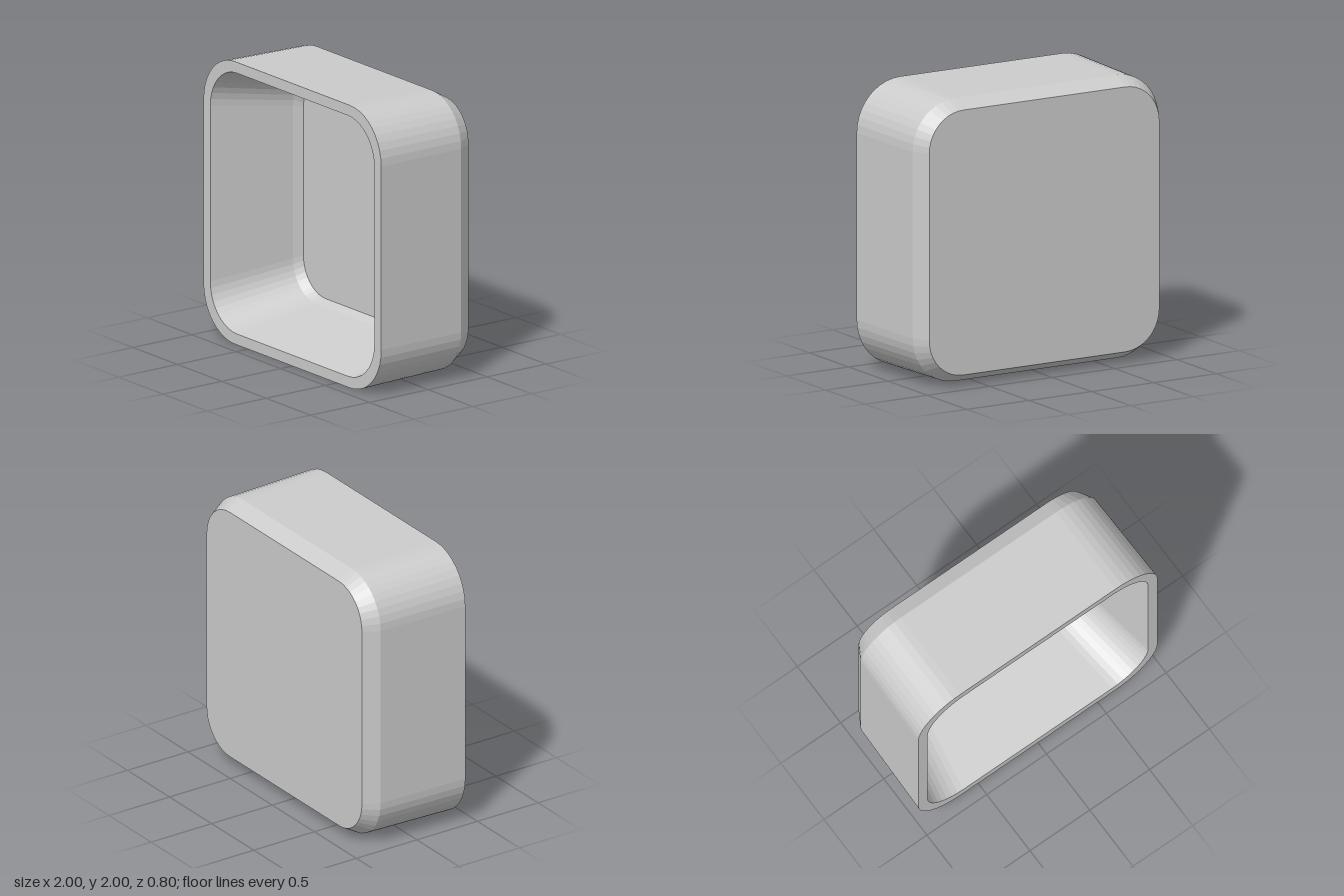
import * as THREE from 'three';

const STEPS = 10; // facets per rounded corner

// Rounded square, counter-clockwise seen from the front
function roundedSquare(half, radius) {
  const points = [];
  for (let q = 0; q < 4; q++) {
    const mid = (q + 0.5) * Math.PI / 2;
    const cx = Math.sign(Math.cos(mid)) * (half - radius);
    const cy = Math.sign(Math.sin(mid)) * (half - radius);
    for (let i = 0; i <= STEPS; i++) {
      const a = (q + i / STEPS) * Math.PI / 2;
      points.push([cx + radius * Math.cos(a), cy + radius * Math.sin(a)]);
    }
  }
  return points;
}

// Skin a run of [half width, corner radius, z] sections; zero width closes it with a flat cap
function loft(sections) {
  const n = 4 * (STEPS + 1);
  const positions = [];
  const index = [];
  for (const [half, radius, z] of sections) {
    for (const [x, y] of roundedSquare(half, radius)) positions.push(x, y + 1, z);
  }
  for (let s = 0; s < sections.length - 1; s++) {
    for (let j = 0; j < n; j++) {
      const a = s * n + j, b = s * n + (j + 1) % n;
      if (sections[s][0] > 0) index.push(a, b, b + n);
      if (sections[s + 1][0] > 0) index.push(a, b + n, a + n);
    }
  }
  const geometry = new THREE.BufferGeometry();
  geometry.setAttribute('position', new THREE.Float32BufferAttribute(positions, 3));
  geometry.setIndex(index);
  const faceted = geometry.toNonIndexed();
  faceted.computeVertexNormals();
  return faceted;
}

export function createModel() {
  const group = new THREE.Group();
  group.name = 'openBox';
  const material = new THREE.MeshStandardMaterial({ color: 0xcccccc, flatShading: true });
  const addPart = (name, sections) => {
    const mesh = new THREE.Mesh(loft(sections), material);
    mesh.name = name;
    group.add(mesh);
  };

  // Back panel, bevel and slightly flared outer wall
  addPart('outerShell', [[0, 0, -0.4], [0.922, 0.272, -0.4], [0.985, 0.335, -0.29], [1, 0.35, 0.4]]);
  // Flat front lip
  addPart('rim', [[1, 0.35, 0.4], [0.923, 0.3, 0.4]]);
  // Tapered recess with a small bevel around its floor
  addPart('recess', [[0.923, 0.3, 0.4], [0.8, 0.26, -0.21], [0.77, 0.25, -0.275], [0, 0, -0.275]]);
  return group;
}
